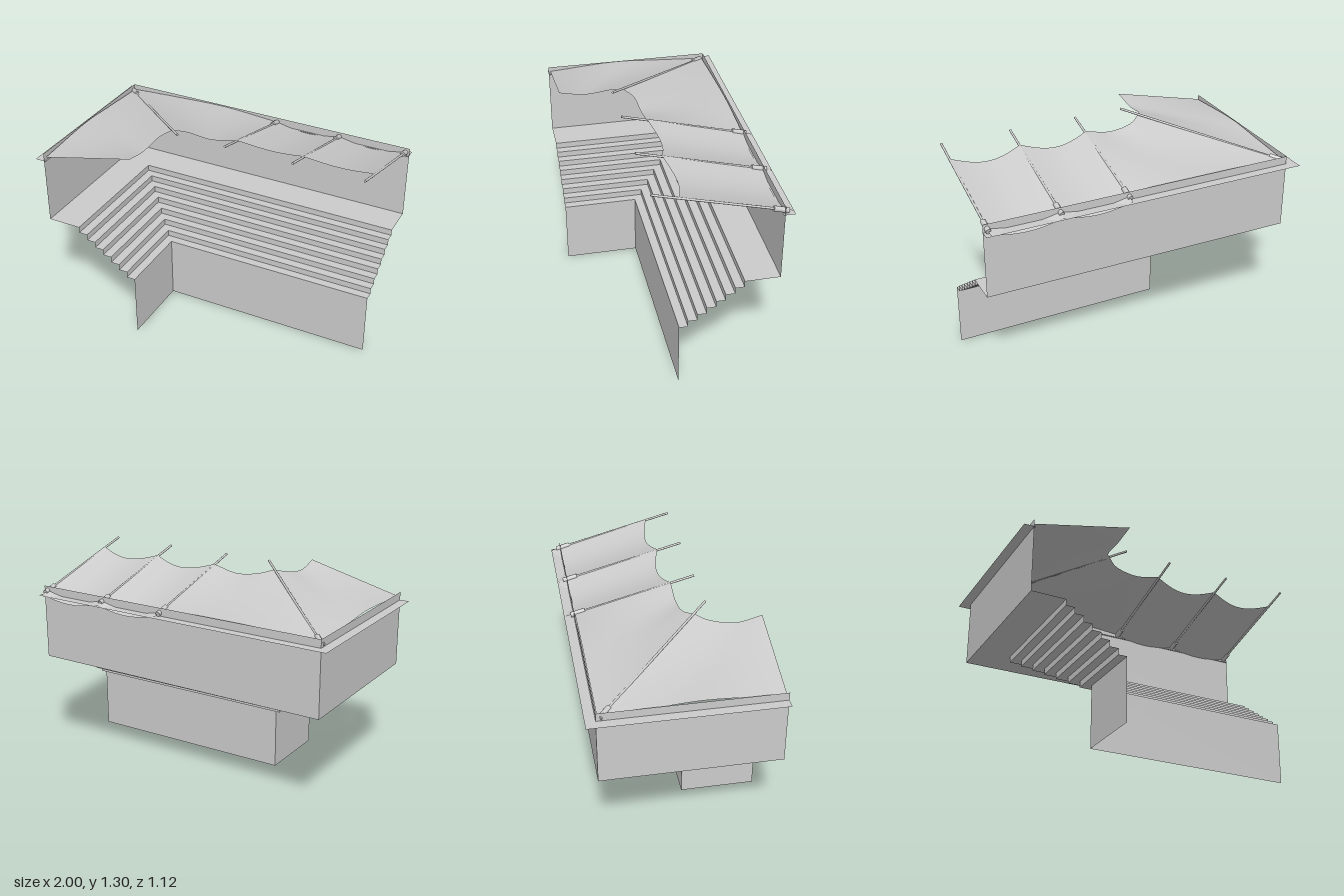
import * as THREE from 'three';

const grey = new THREE.MeshStandardMaterial({ color: 0xcccccc, side: THREE.DoubleSide });
const V = (x, y, z) => new THREE.Vector3(x, y, z);

function named(name, geometry) {
  const mesh = new THREE.Mesh(geometry, grey);
  mesh.name = name;
  return mesh;
}

// Sweeps a profile of [inward offset, height] around the mitred L-shaped plan.
function sweepL(profile) {
  const plan = (d, y) => [
    V(1, y, -0.5 + d + 0.015 * (1 - d / 0.6)),
    V(-0.94 + d, y, -0.5 + d),
    V(-0.94 + d, y, 0.56),
  ];
  const pts = [];
  for (let i = 0; i < profile.length - 1; i++) {
    const a = plan(...profile[i]);
    const b = plan(...profile[i + 1]);
    for (let k = 0; k < 2; k++) pts.push(a[k], b[k], a[k + 1], b[k], b[k + 1], a[k + 1]);
  }
  const g = new THREE.BufferGeometry().setFromPoints(pts);
  g.computeVertexNormals();
  return g;
}

// Smooth cloth patch from a point rule f(u, v).
function patch(f, nu = 20, nv = 12) {
  const g = new THREE.PlaneGeometry(1, 1, nu, nv);
  const { position: p, uv } = g.attributes;
  for (let i = 0; i < p.count; i++) {
    const q = f(uv.getX(i), uv.getY(i));
    p.setXYZ(i, q.x, q.y, q.z);
  }
  g.computeVertexNormals();
  return g;
}

function rod(a, b, radius) {
  const dir = b.clone().sub(a);
  const g = new THREE.CylinderGeometry(radius, radius, dir.length(), 10);
  g.applyQuaternion(new THREE.Quaternion().setFromUnitVectors(V(0, 1, 0), dir.normalize()));
  const mid = a.clone().add(b).multiplyScalar(0.5);
  return g.translate(mid.x, mid.y, mid.z);
}

export function createModel() {
  const model = new THREE.Group();
  model.name = 'cornerGrandstand';

  // Outer wall, upper walkway, seven steps and front wall
  const profile = [[0, 1.135], [0, 0.67]];
  const rise = 0.27 / 7;
  for (let i = 0; i < 7; i++) {
    const d = 0.212 + i * 0.055;
    profile.push([d, 0.67 - i * rise], [d, 0.67 - (i + 1) * rise]);
  }
  profile.push([0.595, 0.4], [0.595, 0]);
  model.add(named('terraces', sweepL(profile)));

  // Flat ledge outside the wall
  model.add(named('ledge', sweepL([[-0.06, 1.085], [0.01, 1.085]])));

  // Two curved canopy panels meeting at the corner pole
  const cornerPanel = (name, front, back) => {
    const f = new THREE.CatmullRomCurve3(front);
    const b = new THREE.CatmullRomCurve3(back);
    model.add(named(name, patch((u, v) => {
      const q = b.getPoint(u).lerp(f.getPoint(u), v);
      q.y -= 0.015 * Math.sin(Math.PI * u) * Math.sin(Math.PI * v);
      return q;
    })));
  };
  cornerPanel('backCornerCanopy',
    [V(-0.27, 1.27, 0.17), V(-0.2, 1.25, 0.12), V(-0.05, 1.23, 0.105), V(0.12, 1.265, 0.105)],
    [V(-0.93, 1.105, -0.49), V(-0.6, 1.12, -0.49), V(-0.25, 1.13, -0.488), V(0.12, 1.108, -0.486)]);
  cornerPanel('sideCornerCanopy',
    [V(-0.27, 1.27, 0.17), V(-0.315, 1.25, 0.24), V(-0.335, 1.225, 0.4), V(-0.33, 1.255, 0.56)],
    [V(-0.93, 1.105, -0.49), V(-0.93, 1.125, -0.15), V(-0.93, 1.138, 0.1), V(-0.93, 1.11, 0.55)]);

  // Sagging canopy bays between the straight poles
  const poleX = [0.12, 0.545, 0.975];
  for (let i = 0; i < 2; i++) {
    model.add(named('canopyBay', patch((u, v) => {
      const sag = Math.sin(Math.PI * u);
      const z = THREE.MathUtils.lerp(-0.54, 0.1 - 0.04 * sag, v);
      const x = THREE.MathUtils.lerp(poleX[i], poleX[i + 1], u);
      return V(x, 1.265 - 0.27 * (0.1 - z) - 0.03 * sag, z);
    })));
  }

  // Sloping poles with sockets at their feet
  const addPole = (foot, tip) => {
    const pole = new THREE.Group();
    pole.name = 'canopyPole';
    const cuff = foot.clone().lerp(tip, 0.09 / foot.distanceTo(tip));
    pole.add(named('poleShaft', rod(foot, tip, 0.007)));
    pole.add(named('poleSocket', rod(foot, cuff, 0.016)));
    model.add(pole);
  };
  poleX.forEach((x) => addPole(V(x, 1.1, -0.51), V(x, 1.297, 0.25)));
  addPole(V(-0.935, 1.1, -0.48), V(-0.19, 1.297, 0.25));

  return model;
}
